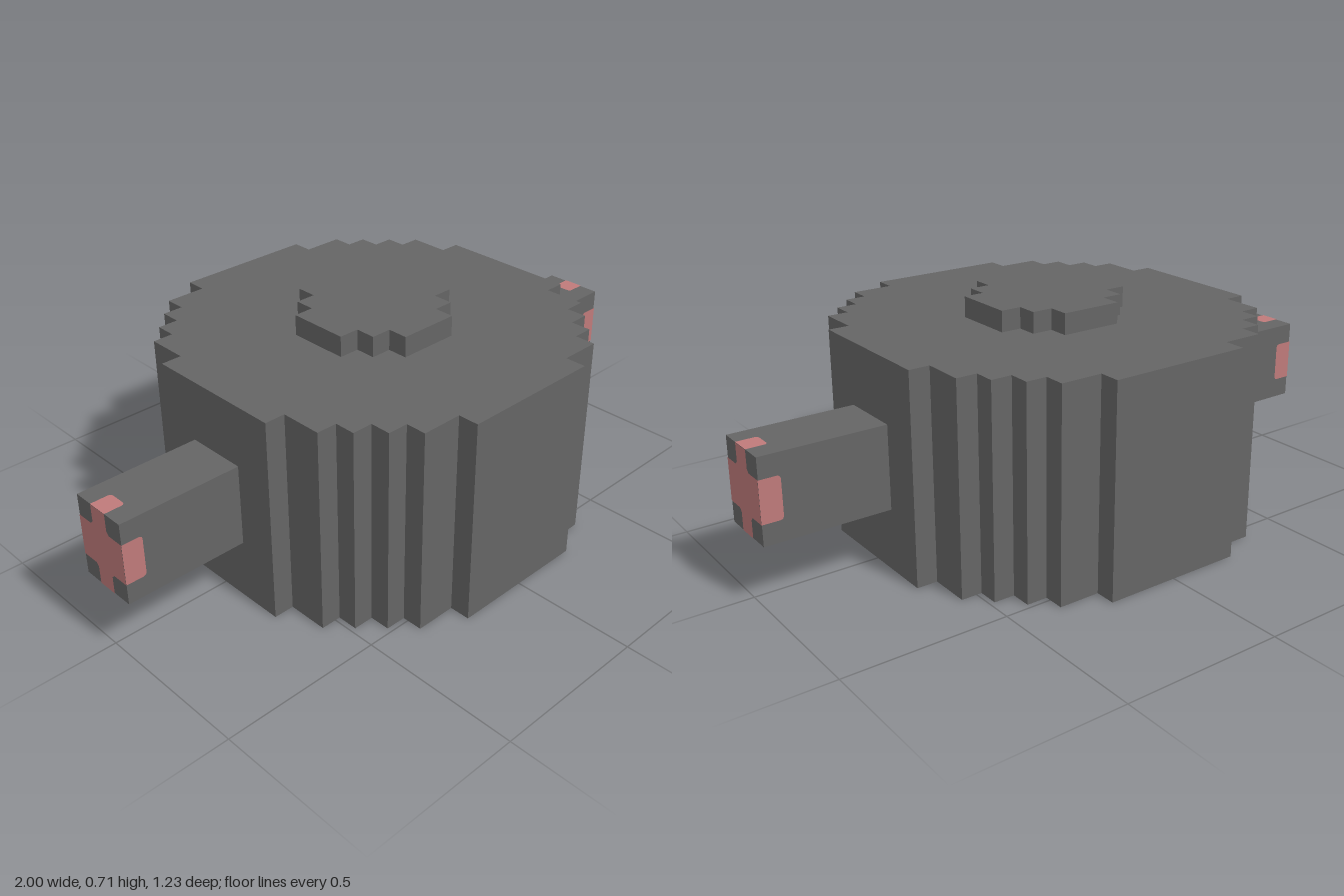
import * as THREE from 'three';

const U = 2 / 31; // one block
const LIFT = 0.02; // gap between painted patches and the arm, in blocks

const grey = new THREE.MeshStandardMaterial({ color: 0x656565 });
grey.name = 'dark grey';
const pink = new THREE.MeshStandardMaterial({ color: 0xbf7a7a });
pink.name = 'dusty pink';

// Stepped round slab: one quarter of the outline, turned four times
function steppedDisc(name, quarter, y, height) {
  const points = [];
  for (let k = 0; k < 4; k++) {
    for (const [a, b] of quarter) {
      const [x, z] = [[a, b], [-b, a], [-a, -b], [b, -a]][k];
      points.push(new THREE.Vector2(x, z));
    }
  }
  const geometry = new THREE.ExtrudeGeometry(new THREE.Shape(points), { depth: height, bevelEnabled: false });
  geometry.rotateX(-Math.PI / 2).translate(0, y, 0);
  const mesh = new THREE.Mesh(geometry, grey);
  mesh.name = name;
  return mesh;
}

// Side patch at the arm tip, rounded at its inner corners
function sidePatch(halfWidth) {
  const r = 0.2, x0 = 14.5, x1 = 15.5, h = halfWidth;
  const s = new THREE.Shape();
  s.moveTo(x1, -h);
  s.lineTo(x1, h);
  s.lineTo(x0 + r, h);
  s.quadraticCurveTo(x0, h, x0, h - r);
  s.lineTo(x0, -h + r);
  s.quadraticCurveTo(x0, -h, x0 + r, -h);
  return new THREE.ShapeGeometry(s);
}

// Cross on the arm's end face, with softened inner corners
function endCross() {
  const c = 0.15;
  const corner = [[1.5, 1], [0.5 + c, 1], [0.5, 1 + c], [0.5, 2]];
  const points = [];
  for (const [sx, sy] of [[1, 1], [-1, 1], [-1, -1], [1, -1]]) {
    const part = corner.map(([x, y]) => new THREE.Vector2(x * sx, y * sy));
    points.push(...(sx * sy > 0 ? part : part.reverse()));
  }
  return new THREE.ShapeGeometry(new THREE.Shape(points)).rotateY(Math.PI / 2);
}

function arm(name) {
  const group = new THREE.Group();
  group.name = name;
  const add = (geometry, material, partName) => {
    const mesh = new THREE.Mesh(geometry, material);
    mesh.name = partName;
    group.add(mesh);
  };
  const length = 6 - LIFT;
  add(new THREE.BoxGeometry(length, 4, 3).translate(9.5 + length / 2, 0, 0), grey, 'armShaft');
  for (let k = 0; k < 4; k++) {
    const upright = k % 2 === 0;
    const geometry = sidePatch(upright ? 1 : 0.5);
    geometry.translate(0, 0, (upright ? 1.5 : 2) + LIFT).rotateX(k * Math.PI / 2);
    add(geometry, pink, 'tipSidePatch');
  }
  add(endCross().translate(15.5, 0, 0), pink, 'tipEndCross');
  group.position.y = 5;
  return group;
}

export function createModel() {
  const model = new THREE.Group();
  model.name = 'blockDrum';

  // Drum and raised cap
  model.add(steppedDisc('drum', [
    [9.5, -3.5], [9.5, 3.5], [8.5, 3.5], [8.5, 5.5], [7.5, 5.5], [7.5, 6.5],
    [6.5, 6.5], [6.5, 7.5], [5.5, 7.5], [5.5, 8.5], [3.5, 8.5],
  ], 0, 10));
  model.add(steppedDisc('cap', [
    [3.5, -1.5], [3.5, 1.5], [2.5, 1.5], [2.5, 2.5], [1.5, 2.5],
  ], 10, 1));

  // Side arms
  const left = arm('leftArm');
  const right = arm('rightArm');
  right.rotation.y = Math.PI;
  model.add(left, right);

  model.scale.setScalar(U);
  const root = new THREE.Group();
  root.add(model);
  return root;
}
